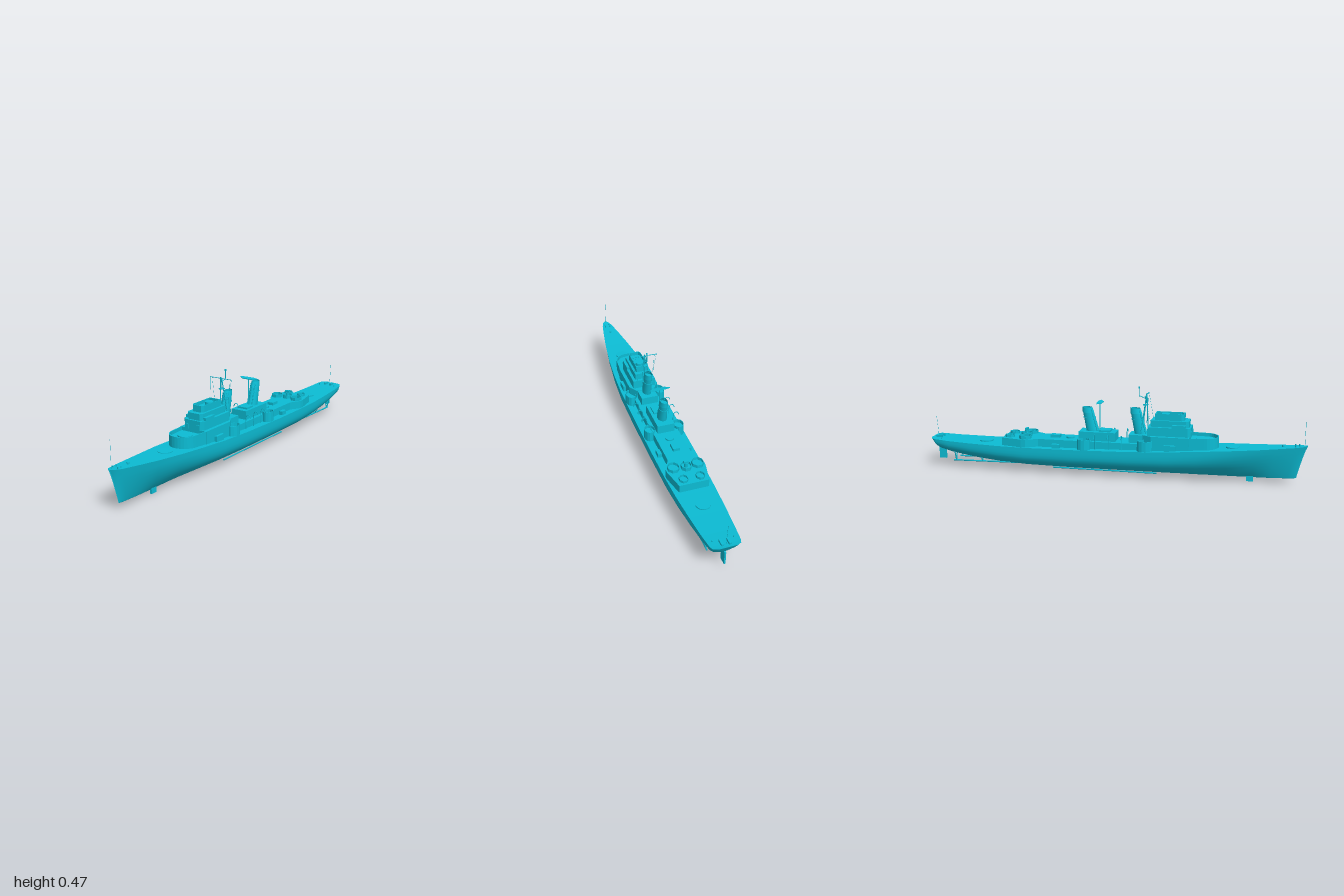
import * as THREE from 'three';

const COLOR = 0x0cbcd4;
const flat = new THREE.MeshStandardMaterial({ color: COLOR, flatShading: true, side: THREE.DoubleSide });
const smooth = new THREE.MeshStandardMaterial({ color: COLOR, side: THREE.DoubleSide });

export function createModel() {
  const ship = new THREE.Group();
  ship.name = 'warship';

  const add = (name, geo, mat = flat) => {
    const m = new THREE.Mesh(geo, mat);
    m.name = name;
    ship.add(m);
    return m;
  };
  const box = (name, x, z, w, d, y0, y1) =>
    add(name, new THREE.BoxGeometry(w, y1 - y0, d)).position.set(x, (y0 + y1) / 2, z);
  const drum = (name, x, z, r, y0, y1, sides = 20) =>
    add(name, new THREE.CylinderGeometry(r, r, y1 - y0, sides)).position.set(x, (y0 + y1) / 2, z);
  // Round bar between two points
  const rod = (name, a, b, r = 0.0015, sides = 6) => {
    const p = new THREE.Vector3(...a), q = new THREE.Vector3(...b);
    const m = add(name, new THREE.CylinderGeometry(r, r, p.distanceTo(q), sides), smooth);
    m.position.copy(p).add(q).multiplyScalar(0.5);
    m.quaternion.setFromUnitVectors(new THREE.Vector3(0, 1, 0), q.sub(p).normalize());
  };
  // Half outline [x, z] mirrored into a closed plan
  const mirror = half => [...half, ...half.slice().reverse().filter(p => p[0] > 0).map(([x, z]) => [-x, z])];
  const toVec = pts => pts.map(([x, z]) => new THREE.Vector2(x, -z));
  const raise = (shape, y0, y1) =>
    new THREE.ExtrudeGeometry(shape, { depth: y1 - y0, bevelEnabled: false }).rotateX(-Math.PI / 2).translate(0, y0, 0);
  const house = (name, plan, y0, y1) => add(name, raise(new THREE.Shape(toVec(plan)), y0, y1));
  // House with a thin raised bulwark around its roof
  const tub = (name, plan, y0, y1, lip = 0.018, k = 0.93) => {
    house(name, plan, y0, y1 - lip);
    const xs = plan.map(p => p[0]), zs = plan.map(p => p[1]);
    const cx = (Math.min(...xs) + Math.max(...xs)) / 2, cz = (Math.min(...zs) + Math.max(...zs)) / 2;
    const s = new THREE.Shape(toVec(plan));
    s.holes.push(new THREE.Path(toVec(plan.map(([x, z]) => [cx + (x - cx) * k, cz + (z - cz) * k]))));
    add(name + 'Bulwark', raise(s, y1 - lip, y1));
  };
  const ring = (x, z, rx, rz, n) => Array.from({ length: n }, (_, i) => {
    const a = (i + 0.5) / n * Math.PI * 2;
    return [x + rx * Math.cos(a), z + rz * Math.sin(a)];
  });

  // Hull stations: z, half beam, keel height, deck height, fullness
  const stations = [
    [1.0, 0.004, 0.03, 0.2, 1.2], [0.985, 0.018, 0.028, 0.198, 1.2], [0.95, 0.03, 0.026, 0.194, 1.2],
    [0.85, 0.049, 0.023, 0.187, 1.3], [0.75, 0.066, 0.022, 0.18, 1.5], [0.6, 0.087, 0.021, 0.172, 2],
    [0.45, 0.1, 0.02, 0.164, 2.8], [0.3, 0.106, 0.02, 0.155, 3.6], [0.1, 0.107, 0.02, 0.146, 4],
    [-0.2, 0.107, 0.02, 0.14, 4], [-0.45, 0.105, 0.023, 0.138, 4], [-0.6, 0.1, 0.031, 0.139, 3.8],
    [-0.75, 0.091, 0.047, 0.142, 3.5], [-0.88, 0.081, 0.069, 0.146, 3.2], [-0.96, 0.073, 0.085, 0.151, 3],
    [-0.977, 0.066, 0.09, 0.153, 3], [-0.988, 0.045, 0.098, 0.155, 2.6],
  ];
  const M = 24, pos = [], hullIdx = [], deckPos = [], deckIdx = [];
  stations.forEach(([z, hw, ky, dy, n], i) => {
    for (let j = 0; j <= M; j++) {
      const s = 1 - 2 * j / M, v = s * s;
      const x = Math.sign(s) * hw * Math.pow(1 - Math.pow(1 - v, n), n > 2.5 ? 0.8 : 0.95);
      const rake = z > 0 ? -0.05 * Math.max(0, (z - 0.6) / 0.4) : 0.035 * Math.max(0, (-z - 0.9) / 0.09);
      pos.push(x, ky + (dy - ky) * v, z + rake * Math.pow(1 - v, 0.8));
      const a = i * (M + 1) + j, b = a + M + 1;
      if (i < stations.length - 1 && j < M) hullIdx.push(a, a + 1, b, b, a + 1, b + 1);
    }
    deckPos.push(hw, dy, z, -hw, dy, z);
    const d = i * 2;
    if (i < stations.length - 1) deckIdx.push(d, d + 2, d + 1, d + 1, d + 2, d + 3);
  });
  const last = (stations.length - 1) * (M + 1);
  for (let j = 1; j < M; j++) hullIdx.push(last, last + j, last + j + 1);
  const surface = (p, idx) => {
    const g = new THREE.BufferGeometry();
    g.setAttribute('position', new THREE.Float32BufferAttribute(p, 3));
    g.setIndex(idx);
    g.computeVertexNormals();
    return g;
  };
  add('hull', surface(pos, hullIdx), smooth);
  add('deck', surface(deckPos, deckIdx));

  // Underwater fittings
  box('sonarDome', 0, 0.72, 0.01, 0.034, 0, 0.03);
  house('rudder', [[0.004, -0.925], [0.004, -0.965], [-0.004, -0.965], [-0.004, -0.925]], 0.03, 0.1);
  for (const s of [1, -1]) {
    rod('propellerShaft', [s * 0.045, 0.04, -0.5], [s * 0.045, 0.034, -0.865], 0.004, 8);
    for (const dx of [-0.018, 0.018]) {
      rod('shaftStrut', [s * 0.045, 0.034, -0.85], [s * 0.045 + dx, 0.088, -0.85], 0.003);
      rod('shaftStrut', [s * 0.045, 0.037, -0.7], [s * 0.045 + dx, 0.062, -0.7], 0.0025);
    }
    rod('bilgeKeel', [s * 0.06, 0.03, 0.25], [s * 0.06, 0.03, -0.3], 0.004, 4);
  }

  // Gun rings on the decks
  drum('forwardGunRing', 0, 0.63, 0.035, 0.165, 0.178, 24);
  drum('upperGunRing', 0, 0.48, 0.035, 0.2, 0.214, 24);
  drum('aftGunRing', 0, -0.69, 0.036, 0.135, 0.147, 24);

  // Forward gun platform with a rounded front
  const nose = Array.from({ length: 8 }, (_, i) => {
    const a = i / 7 * Math.PI / 2;
    return [0.07 * Math.sin(a), 0.49 + 0.07 * Math.cos(a)];
  });
  tub('gunPlatform', mirror([...nose, [0.076, 0.41]]), 0.15, 0.225);

  // Bridge tiers
  house('bridgeBase', mirror([[0.078, 0.415], [0.078, 0.22], [0.05, 0.175]]), 0.14, 0.225);
  house('lowerBridge', mirror([[0.045, 0.42], [0.06, 0.405], [0.06, 0.2]]), 0.225, 0.27);
  house('middleBridge', mirror([[0.034, 0.41], [0.045, 0.395], [0.045, 0.215]]), 0.27, 0.303);
  tub('upperBridge', mirror([[0.024, 0.385], [0.033, 0.37], [0.033, 0.235]]), 0.303, 0.336);
  drum('director', 0, 0.285, 0.022, 0.315, 0.333);
  for (const s of [1, -1]) {
    box('bridgeWing', s * 0.052, 0.36, 0.016, 0.07, 0.27, 0.284);
    box('bridgeDoor', s * 0.035, 0.42, 0.02, 0.008, 0.225, 0.25);
  }

  // Long deckhouse widening around the aft gun platform
  house('longDeckhouse', mirror([[0.065, 0.22], [0.065, -0.38], [0.098, -0.44], [0.098, -0.465], [0.075, -0.575]]), 0.13, 0.18);
  house('forwardFunnelHouse', mirror([[0.045, 0.2], [0.045, 0.1]]), 0.18, 0.222);
  house('aftFunnelHouse', mirror([[0.045, 0.03], [0.045, -0.165]]), 0.18, 0.226);
  box('funnelAnnex', 0, -0.03, 0.06, 0.06, 0.22, 0.235);
  box('aftLocker', 0, -0.3, 0.035, 0.05, 0.18, 0.195);
  tub('aftControlTub', ring(0, -0.46, 0.026, 0.03, 8), 0.18, 0.2, 0.012);
  drum('aftDirector', 0, -0.46, 0.01, 0.185, 0.212, 10);
  box('aftSight', 0, -0.46, 0.026, 0.012, 0.212, 0.222);
  drum('midDeckMount', 0, -0.22, 0.022, 0.18, 0.188);

  // Side gun tubs, lockers and boat davits
  for (const s of [1, -1]) {
    tub('forwardSponson', ring(s * 0.08, 0.19, 0.027, 0.04, 12), 0.135, 0.202);
    tub('midSponson', ring(s * 0.078, -0.13, 0.027, 0.035, 12), 0.13, 0.195);
    tub('aftGunTub', ring(s * 0.062, -0.45, 0.03, 0.034, 8), 0.17, 0.197, 0.015);
    tub('afterGunTub', ring(s * 0.042, -0.54, 0.022, 0.026, 8), 0.17, 0.193, 0.012);
    box('deckLocker', s * 0.083, 0.32, 0.018, 0.06, 0.14, 0.185);
    box('deckLocker', s * 0.078, -0.28, 0.02, 0.04, 0.135, 0.16);
    for (const z of [0.07, 0.0, -0.07]) {
      const arc = new THREE.CatmullRomCurve3([[0.072, 0.14], [0.072, 0.2], [0.079, 0.221], [0.092, 0.222], [0.102, 0.205]]
        .map(([x, y]) => new THREE.Vector3(s * x, y, z)));
      add('davit', new THREE.TubeGeometry(arc, 14, 0.002, 6), smooth);
    }
  }

  // Raked oval funnels with an open cap, rim and side pipes
  const funnel = (name, z, y0, y1) => {
    const lean = g => {
      const p = g.attributes.position;
      for (let i = 0; i < p.count; i++) p.setZ(i, p.getZ(i) + z - (p.getY(i) - y0) * 0.24);
      g.computeVertexNormals();
      return g;
    };
    const h = y1 - y0;
    const part = (n, r0, r1, a, b, open) => add(name + n, lean(
      new THREE.CylinderGeometry(r1, r0, b - a, 20, 1, open).scale(0.7, 1, 1).translate(0, (a + b) / 2, 0)), smooth);
    part('', 0.034, 0.028, y0, y1 - 0.018, false);
    part('Cap', 0.031, 0.026, y1 - 0.028, y1, true);
    part('Band', 0.034, 0.034, y0 + h * 0.55, y0 + h * 0.58, false);
    for (const s of [1, -1])
      rod(name + 'Pipe', [s * 0.015, y0, z + 0.028], [s * 0.012, y1 - 0.01, z + 0.024 - h * 0.24], 0.003);
  };
  funnel('forwardFunnel', 0.158, 0.222, 0.355);
  funnel('aftFunnel', -0.098, 0.226, 0.35);

  // Tripod foremast with yards and aerials
  rod('foremast', [0, 0.225, 0.195], [0, 0.435, 0.187], 0.003);
  for (const s of [1, -1]) {
    rod('mastLeg', [s * 0.024, 0.225, 0.16], [s * 0.004, 0.43, 0.186], 0.0025);
    rod('rigging', [s * 0.065, 0.428, 0.187], [s * 0.045, 0.27, 0.22], 0.0006, 4);
    rod('rigging', [s * 0.053, 0.428, 0.187], [s * 0.04, 0.27, 0.18], 0.0006, 4);
  }
  rod('upperYard', [-0.067, 0.428, 0.187], [0.067, 0.428, 0.187], 0.0017);
  rod('mastSpur', [0, 0.405, 0.187], [0, 0.42, 0.145], 0.002);
  rod('topmast', [0, 0.415, 0.147], [0, 0.467, 0.147], 0.0017);
  box('mastPlatform', 0, 0.18, 0.022, 0.025, 0.372, 0.376);
  box('mastHeadLamp', 0, 0.147, 0.006, 0.006, 0.458, 0.467);

  // Aft mast with a wide search antenna
  rod('aftMast', [0, 0.225, -0.06], [0, 0.378, -0.06], 0.003);
  const antenna = add('searchAntenna', raise(new THREE.Shape(toVec(
    [[-0.055, -0.005], [-0.03, 0.014], [0.03, 0.014], [0.055, -0.005], [0.03, -0.012], [-0.03, -0.012]])), 0, 0.003));
  antenna.position.set(0, 0.376, -0.06);
  antenna.rotation.x = 0.15;

  // Deck fittings at bow and stern
  rod('bowStaff', [0, 0.195, 0.985], [0, 0.33, 0.985], 0.0007, 4);
  rod('sternStaff', [0, 0.15, -0.965], [0, 0.27, -0.975], 0.0007, 4);
  drum('capstan', 0, 0.88, 0.006, 0.185, 0.198, 10);
  for (const s of [1, -1]) {
    for (const z of [0.96, 0.94]) drum('bollard', s * 0.014, z, 0.003, 0.19, 0.203, 8);
    drum('sternBollard', s * 0.05, -0.93, 0.003, 0.145, 0.157, 8);
    box('sternRack', s * 0.018, -0.955, 0.012, 0.035, 0.148, 0.162);
  }
  return ship;
}
